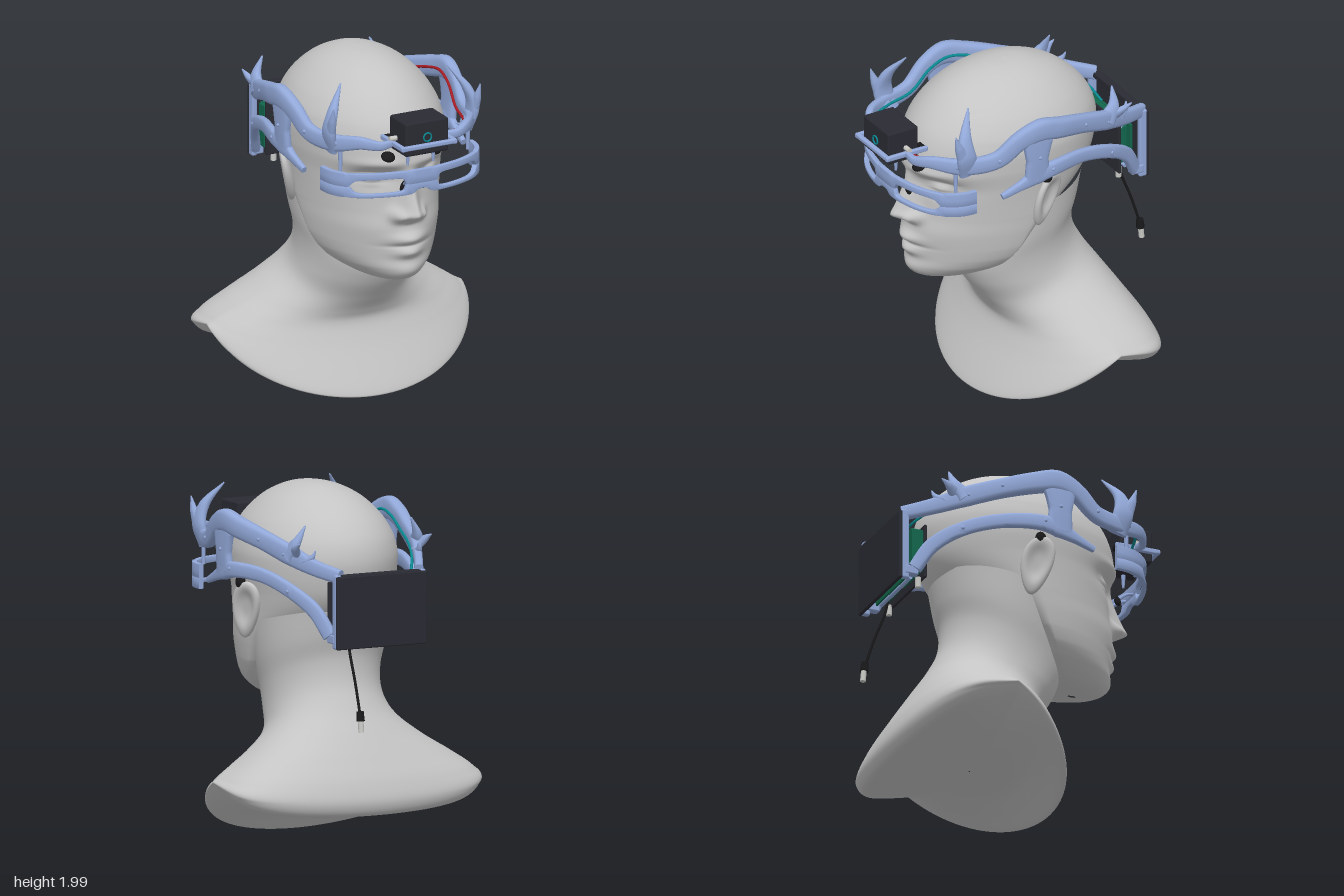
import * as THREE from 'three';
import { toCreasedNormals } from 'three/addons/utils/BufferGeometryUtils.js';
import { RoundedBoxGeometry } from 'three/addons/geometries/RoundedBoxGeometry.js';

const V = (x, y, z) => new THREE.Vector3(x, y, z);
const paint = (name, color) => Object.assign(new THREE.MeshStandardMaterial({ color }), { name });
const bell = (x, y, cx, cy, sx, sy) => Math.exp(-(((x - cx) / sx) ** 2) - ((y - cy) / sy) ** 2);
const bend = (v, e) => Math.sign(v) * Math.abs(v) ** e;

// Skin over rows of points; every row is a closed ring
function loft(rows) {
  const n = rows[0].length, pos = [], idx = [];
  rows.forEach(r => r.forEach(p => pos.push(p.x, p.y, p.z)));
  for (let i = 0; i < rows.length - 1; i++) for (let j = 0; j < n; j++) {
    const a = i * n + j, b = i * n + (j + 1) % n;
    idx.push(a, b, b + n, a, b + n, a + n);
  }
  const g = new THREE.BufferGeometry();
  g.setAttribute('position', new THREE.Float32BufferAttribute(pos, 3));
  g.setIndex(idx);
  g.computeVertexNormals();
  return g;
}

// Bar along points [x, y, z, height, thickness] with closed ends
function sweep(pts, { up = V(0, 1, 0), steps = 8, sides = 16, power = 0.6 } = {}) {
  const curve = new THREE.CatmullRomCurve3(pts.map(p => V(p[0], p[1], p[2])));
  const n = (pts.length - 1) * steps, rows = [];
  for (let i = 0; i <= n; i++) {
    const t = i / n, k = Math.min(Math.floor(i / steps), pts.length - 2), f = i / steps - k;
    const size = q => THREE.MathUtils.lerp(pts[k][q], pts[k + 1][q], f) / 2;
    const c = curve.getPoint(t), T = curve.getTangent(t);
    const N = T.clone().cross(up).normalize(), B = T.clone().cross(N);
    const ring = s => Array.from({ length: sides }, (_, j) => {
      const a = j / sides * Math.PI * 2;
      return c.clone().addScaledVector(N, s * size(4) * bend(Math.cos(a), power))
        .addScaledVector(B, s * size(3) * bend(Math.sin(a), power));
    });
    if (i === 0) rows.push(ring(0));
    rows.push(ring(1));
    if (i === n) rows.push(ring(0));
  }
  return toCreasedNormals(loft(rows), 0.8);
}

// Head: rows of [y, front z, back z, half width, z of widest point]
function headGeometry() {
  const t = [[.765, .4, .35, .01, .38], [.775, .49, .24, .12, .29], [.81, .565, .17, .2, .24], [.87, .59, .12, .288, .17],
    [.93, .585, .07, .336, .13], [1, .59, 0, .366, .09], [1.1, .6, -.12, .386, .05], [1.2, .58, -.28, .398, .01],
    [1.3, .57, -.44, .405, 0], [1.4, .578, -.52, .415, -.01], [1.5, .605, -.55, .43, -.02], [1.6, .592, -.562, .435, -.02],
    [1.7, .555, -.54, .415, -.02], [1.8, .48, -.475, .362, -.02], [1.9, .365, -.36, .267, -.02],
    [1.96, .24, -.24, .17, -.02], [1.99, .12, -.14, .085, -.02], [2, -.025, -.025, 0, -.025]];
  const a = new THREE.CatmullRomCurve3(t.map(r => V(r[0], r[1], r[2])));
  const b = new THREE.CatmullRomCurve3(t.map(r => V(r[3], r[4], 0)));
  const rows = [], n = 180, cols = 128;
  for (let i = 0; i <= n; i++) {
    const { x: y, y: zf, z: zb } = a.getPoint(i / n), { x: w, y: zc } = b.getPoint(i / n);
    const taper = 1.25 - .25 * THREE.MathUtils.smoothstep(y, .95, 1.35);
    rows.push(Array.from({ length: cols }, (_, j) => {
      const q = j / cols * Math.PI * 2, c = Math.cos(q), x = w * Math.sin(q);
      const z = c > 0 ? zc + (zf - zc) * c ** taper + Math.min(1, c * 2) * features(Math.abs(x), y) : zc + (zc - zb) * c;
      return V(x, Math.min(y, 2), z);
    }));
  }
  return loft(rows);
}

// Depth of nose, eyes, brows and lips on the face
function features(x, y) {
  const s = THREE.MathUtils.clamp((1.46 - y) / .25, 0, 1);
  const nose = (.015 + .12 * s) * THREE.MathUtils.smoothstep(y, 1.12, 1.21) * (1 - THREE.MathUtils.smoothstep(y, 1.42, 1.52));
  return nose * Math.exp(-((x / (.035 + .022 * s)) ** 2))
    + .062 * bell(x, y, .075, 1.19, .032, .035) - .06 * bell(x, y, .18, 1.4, .1, .055)
    + .05 * bell(x, y, .185, 1.39, .06, .035) - .014 * bell(x, y, .185, 1.375, .065, .008)
    - .012 * bell(x, y, .185, 1.43, .07, .008) + .018 * bell(x, y, .17, 1.49, .13, .03)
    + .044 * bell(x, y, 0, 1.045, .095, .034) + .04 * bell(x, y, 0, .966, .08, .034)
    - .014 * bell(x, y, 0, 1.006, .12, .01) + .015 * bell(x, y, 0, .85, .09, .04);
}

// Neck and shoulders: tilted rings [front z,y, back z,y, half width, side z,y, back roundness]
function bustGeometry() {
  const t = [[.2, 1, -.46, 1.34, .393, -.09, 1.25, 1], [.25, .88, -.43, 1.19, .367, -.1, 1.07, 1],
    [.27, .79, -.4, 1.06, .335, -.1, .91, 1], [.23, .68, -.415, .92, .332, -.12, .77, 1],
    [.15, .56, -.48, .78, .37, -.17, .67, .9], [.09, .47, -.57, .64, .505, -.22, .565, .75], [.07, .4, -.65, .51, .66, -.27, .475, .6],
    [.11, .29, -.72, .38, .77, -.3, .412, .48], [.245, .025, -.745, .28, .787, -.3, .385, .45], [.232, .015, -.72, .215, .735, -.3, .345, .47],
    [.13, .085, -.62, .2, .56, -.29, .265, .6], [.01, .15, -.45, .2, .32, -.27, .215, .8], [-.24, .19, -.25, .19, .005, -.245, .19, 1]];
  const curve = (p, q, r) => new THREE.CatmullRomCurve3(t.map(v => V(v[p], v[q], v[r])));
  const A = curve(0, 1, 4), B = curve(2, 3, 7), C = curve(5, 6, 4), rows = [], n = 96, cols = 112;
  for (let i = n; i >= 0; i--) {
    const f = A.getPoint(i / n), b = B.getPoint(i / n), s = C.getPoint(i / n);
    rows.push(Array.from({ length: cols }, (_, j) => {
      const q = j / cols * Math.PI * 2, c = Math.cos(q);
      const end = c > 0 ? f : b, k = c > 0 ? c : Math.abs(c) ** b.z;
      return V(f.z * Math.sin(q), Math.max(0, s.y + (end.y - s.y) * k), s.x + (end.x - s.x) * k);
    }));
  }
  return loft(rows);
}

// Ear: flattened ball with a hollow outer face and a narrow lobe
function earGeometry() {
  const g = new THREE.SphereGeometry(1, 36, 28), p = g.attributes.position;
  for (let i = 0; i < p.count; i++) {
    let x = p.getX(i), y = p.getY(i), z = p.getZ(i);
    const r = Math.hypot(y - .1, z);
    if (x > 0) x = Math.sqrt(x) - .95 * Math.exp(-((r / .6) ** 4));
    p.setXYZ(i, x * .033, y * .165, z * .112 * (.8 + .22 * y) - y * .03);
  }
  g.computeVertexNormals();
  return g;
}

export function createModel() {
  const group = new THREE.Group();
  const skin = paint('mannequin grey', 0xc4c4c4), blue = paint('frame blue', 0x92a8d8), dark = paint('charcoal', 0x2a2a33),
    black = paint('black rubber', 0x19191b), green = paint('circuit green', 0x12664c), red = paint('wire red', 0xa81c24),
    teal = paint('wire teal', 0x0a8a92), metal = paint('light metal', 0xc9c9c6);
  const add = (name, geo, mat, x = 0, y = 0, z = 0, rx = 0, ry = 0, rz = 0) => {
    const m = new THREE.Mesh(geo, mat);
    m.name = name;
    m.position.set(x, y, z);
    m.rotation.set(rx, ry, rz);
    group.add(m);
  };
  const box = (w, h, d, r = .008) => new RoundedBoxGeometry(w, h, d, 3, r);
  const tube = (pts, r) => new THREE.TubeGeometry(new THREE.CatmullRomCurve3(pts.map(p => V(...p))), 60, r, 8);

  add('head', headGeometry(), skin);
  add('neckAndShoulders', bustGeometry(), skin);

  const upper = [[.17, 1.665, .7, .04, .035], [.24, 1.66, .7, .05, .04], [.33, 1.675, .645, .07, .045], [.425, 1.65, .5, .1, .05],
    [.48, 1.665, .31, .1, .06], [.507, 1.76, .18, .11, .07], [.518, 1.8, .06, .13, .075], [.505, 1.775, -.07, .12, .08],
    [.455, 1.725, -.26, .11, .07], [.4, 1.665, -.445, .115, .06], [.33, 1.605, -.61, .09, .05], [.25, 1.565, -.765, .08, .05]];
  const lower = [[.5, 1.435, .29, .035, .03], [.51, 1.475, .18, .055, .04], [.515, 1.515, .07, .1, .05], [.515, 1.535, -.04, .09, .05],
    [.46, 1.525, -.26, .08, .045], [.4, 1.46, -.47, .08, .045], [.33, 1.36, -.62, .085, .045], [.28, 1.23, -.7, .08, .05]];
  const strut = [[.515, 1.83, .05, .05, .14], [.522, 1.74, .07, .05, .19], [.522, 1.62, .075, .05, .135], [.515, 1.5, .07, .05, .16]];
  const horns = [
    [[.425, 1.6, .46, .12, .05], [.45, 1.72, .49, .12, .055], [.42, 1.83, .48, .07, .05], [.335, 1.955, .41, .008, .008]],
    [[.45, 1.7, .5, .09, .045], [.455, 1.79, .54, .05, .04], [.46, 1.87, .565, .006, .006]],
    [[.43, 1.66, .5, .08, .05], [.38, 1.64, .55, .04, .03], [.31, 1.66, .55, .006, .006]],
    [[.405, 1.66, -.44, .12, .05], [.385, 1.73, -.5, .07, .05], [.335, 1.83, -.52, .008, .008]],
    [[.38, 1.66, -.49, .09, .045], [.41, 1.71, -.55, .045, .035], [.42, 1.74, -.6, .006, .006]],
    [[.36, 1.64, -.54, .07, .04], [.34, 1.66, -.6, .035, .03], [.325, 1.7, -.62, .006, .006]]];
  const wire = [[.17, 1.65, .665], [.3, 1.66, .625], [.39, 1.65, .5], [.437, 1.665, .31], [.462, 1.755, .18], [.47, 1.795, .06],
    [.457, 1.775, -.07], [.412, 1.72, -.26], [.365, 1.665, -.445], [.29, 1.59, -.61], [.22, 1.53, -.69], [.05, 1.5, -.69]];

  for (const s of [1, -1]) {
    const side = s > 0 ? 'left' : 'right', flip = pts => pts.map(([x, ...r]) => [x * s, ...r]);
    add(side + 'Ear', earGeometry(), skin, .437 * s, 1.305, -.03, 0, s > 0 ? .4 : Math.PI - .4, -.2);
    // Side frame with its antler-like clips
    add(side + 'UpperBand', sweep(flip(upper)), blue);
    add(side + 'LowerArm', sweep(flip(lower)), blue);
    add(side + 'Strut', sweep(flip(strut), { up: V(1, 0, 0) }), blue);
    horns.forEach(h => add(side + 'Clip', sweep(flip(h), { up: V(0, 0, 1), power: .85 }), blue));
    for (const [x, y, z] of [[.546, 1.64, .07], [.538, 1.54, -.02], [.488, 1.73, -.26], [.509, 1.67, .31], [.427, 1.665, -.44], [.42, 1.46, -.47]])
      add(side + 'Bolt', new THREE.SphereGeometry(.011, 12, 8), blue, x * s, y, z);
    add(side + 'EarKnob', new THREE.SphereGeometry(.035, 20, 14).scale(.8, 1.1, .9), black, .47 * s, 1.46, -.02);
    // Forehead pads, nose pads and prongs
    add(side + 'ForeheadPad', new THREE.SphereGeometry(.04, 20, 14).scale(1, .55, 1), black, .145 * s, 1.555, .615, .4);
    add(side + 'NosePad', new THREE.SphereGeometry(.03, 16, 12).scale(.6, 1.2, .6), black, .055 * s, 1.375, .63, 0, 0, .5 * s);
    add(side + 'NoseStem', tube(flip([[.055, 1.39, .64], [.06, 1.42, .68], [.05, 1.44, .735]]), .009), blue);
    add(side + 'Prong', new THREE.CylinderGeometry(.014, .007, .09, 12), blue, .08 * s, 1.575, .725);
    add(side + 'VisorProng', new THREE.CylinderGeometry(.014, .01, .17, 12), blue, .4 * s, 1.57, .53);
    // Camera cradle and hinge pin
    add(side + 'CradleRail', box(.026, .03, .27), blue, .16 * s, 1.665, .705);
    add(side + 'HingePin', new THREE.CylinderGeometry(.015, .015, .05, 14), metal, .155 * s, 1.69, .695, 0, 0, Math.PI / 2);
    add(side + 'CradlePad', box(.07, .03, .035), black, .135 * s, 1.665, .595);
    // Rear side rails and cable plugs
    add(side + 'RearRail', box(.035, .42, .05, .012), blue, .268 * s, 1.37, -.758);
    add(side + 'RearFoot', box(.05, .05, .08), blue, .265 * s, 1.215, -.72);
    add(side + 'Socket', new THREE.CylinderGeometry(.017, .017, .06, 14), metal, .2 * s, 1.185, -.645);
    // Wire running along the inside of the band
    add(side + 'Wire', tube(flip(wire), .008), s > 0 ? red : teal);
  }

  // Visor: upper and lower halves that part around two eye windows
  const halves = [[], []];
  for (let i = 0; i <= 72; i++) {
    const a = (i / 72 * 2 - 1) * Math.PI / 2, x = .465 * Math.sin(a), z = .44 + .3 * Math.cos(a) ** .8;
    const d = Math.abs((Math.abs(x) - .238) / .157), gap = d < 1 ? .042 * (1 - d ** 6) ** .5 : -.002;
    const notch = .03 * Math.exp(-((x / .055) ** 4));
    [[1.424 + gap, 1.502], [1.362 + notch, 1.424 - gap]].forEach(([lo, hi], k) =>
      halves[k].push([x, (lo + hi) / 2, z, hi - lo, .028]));
  }
  halves.forEach((h, k) => add(k ? 'visorLower' : 'visorUpper', sweep(h, { steps: 1, power: .08 }), blue));

  // Camera box on its cradle
  add('cameraBox', box(.27, .195, .195, .012), dark, 0, 1.705, .71);
  add('lensRing', new THREE.TorusGeometry(.024, .005, 8, 32), teal, 0, 1.708, .81);
  add('cradleFront', box(.35, .026, .03), blue, 0, 1.665, .825);

  // Rear display and electronics
  add('rearDisplay', box(.57, .41, .022), dark, 0, 1.365, -.785);
  add('rearCrossbar', box(.5, .035, .05), dark, 0, 1.56, -.768);
  add('boardCover', box(.51, .32, .016, .005), dark, -.005, 1.36, -.625);
  add('circuitBoard', box(.5, .27, .014, .004), green, 0, 1.355, -.7);
  add('rightModule', box(.26, .25, .07), green, -.13, 1.36, -.672);
  add('leftModule', box(.15, .23, .06), green, .13, 1.35, -.672);
  add('moduleBridge', box(.06, .03, .05), metal, .028, 1.45, -.66);
  add('batteryTube', new THREE.CylinderGeometry(.016, .016, .18, 14), blue, .13, 1.48, -.645, 0, 0, Math.PI / 2);
  add('lowerTube', new THREE.CylinderGeometry(.012, .012, .4, 14), blue, 0, 1.21, -.69, 0, 0, Math.PI / 2);

  // Hanging cable with plug
  add('cable', tube([[.15, 1.24, -.67], [.15, 1.14, -.69], [.15, .97, -.755], [.15, .8, -.81]], .008), black);
  add('plugGrip', new THREE.CylinderGeometry(.02, .024, .055, 16), black, .15, .785, -.815, .1);
  add('plugTip', new THREE.CylinderGeometry(.016, .016, .07, 16), metal, .15, .73, -.822, .1);
  return group;
}
